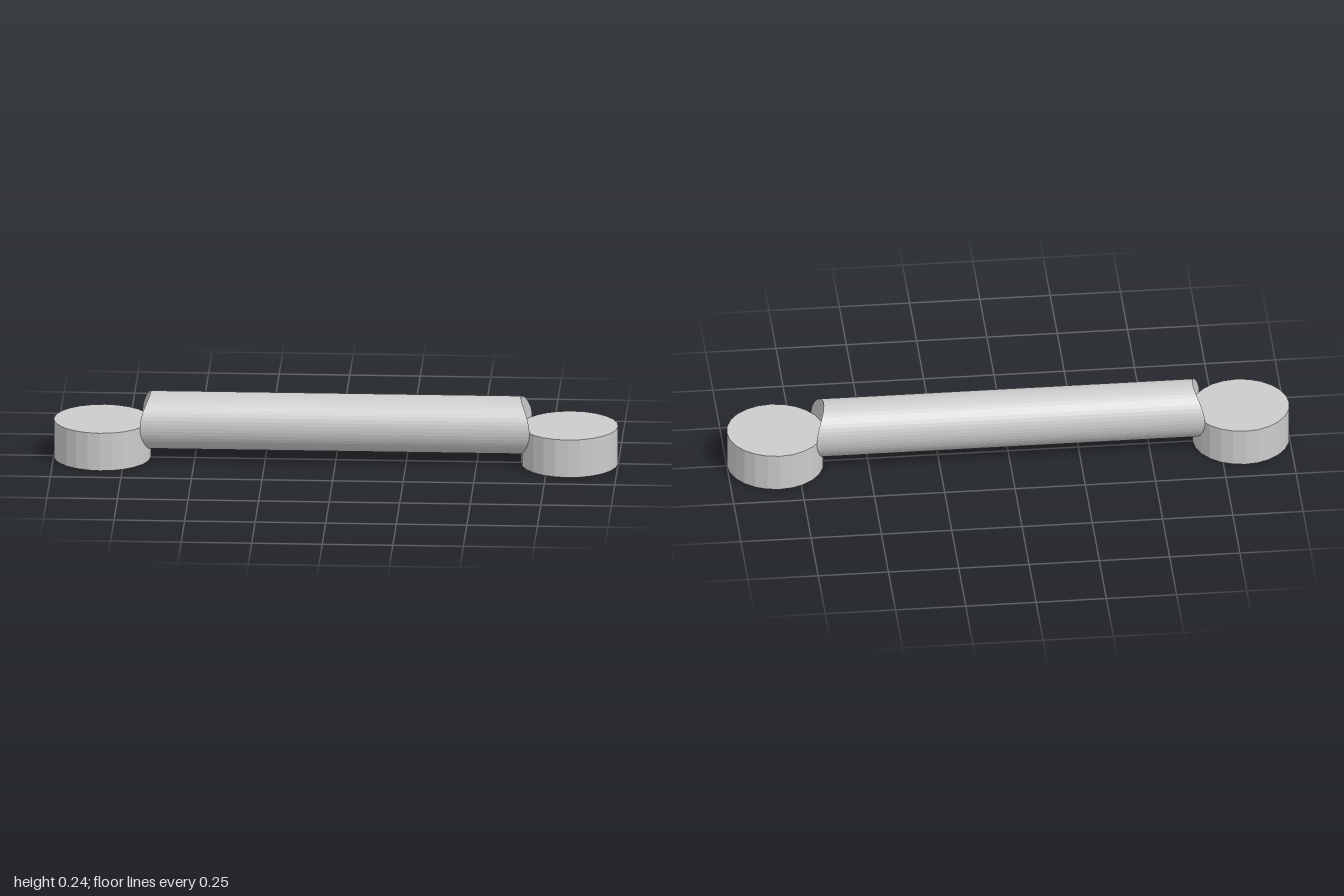
import * as THREE from 'three';

const DISC_X = 0.828, DISC_R = 0.172, DISC_H = 0.139;
const BAR_R = 0.103, BAR_Y = 0.139;

export function createModel() {
  const group = new THREE.Group();
  const material = new THREE.MeshStandardMaterial({ color: 0xcccccc, flatShading: true });

  // Round mounting feet at both ends
  for (const side of [-1, 1]) {
    const foot = new THREE.Mesh(new THREE.CylinderGeometry(DISC_R, DISC_R, DISC_H, 24), material);
    foot.name = side > 0 ? 'leftFoot' : 'rightFoot';
    foot.position.set(side * DISC_X, DISC_H / 2, 0);
    group.add(foot);
  }

  // Bar: closed lathe whose ringed caps are bent to hug the feet
  const rings = 8;
  const profile = [];
  for (let i = 0; i <= rings; i++) profile.push(new THREE.Vector2(BAR_R * i / rings, -1));
  for (let i = rings; i >= 0; i--) profile.push(new THREE.Vector2(BAR_R * i / rings, 1));
  const geometry = new THREE.LatheGeometry(profile, 48);
  geometry.rotateZ(-Math.PI / 2);
  const pos = geometry.attributes.position;
  for (let i = 0; i < pos.count; i++) {
    const z = pos.getZ(i);
    pos.setX(i, Math.sign(pos.getX(i)) * (DISC_X - Math.sqrt(DISC_R ** 2 - z ** 2)));
  }
  geometry.computeVertexNormals();
  const bar = new THREE.Mesh(geometry, material);
  bar.name = 'bar';
  bar.position.y = BAR_Y;
  group.add(bar);

  return group;
}
